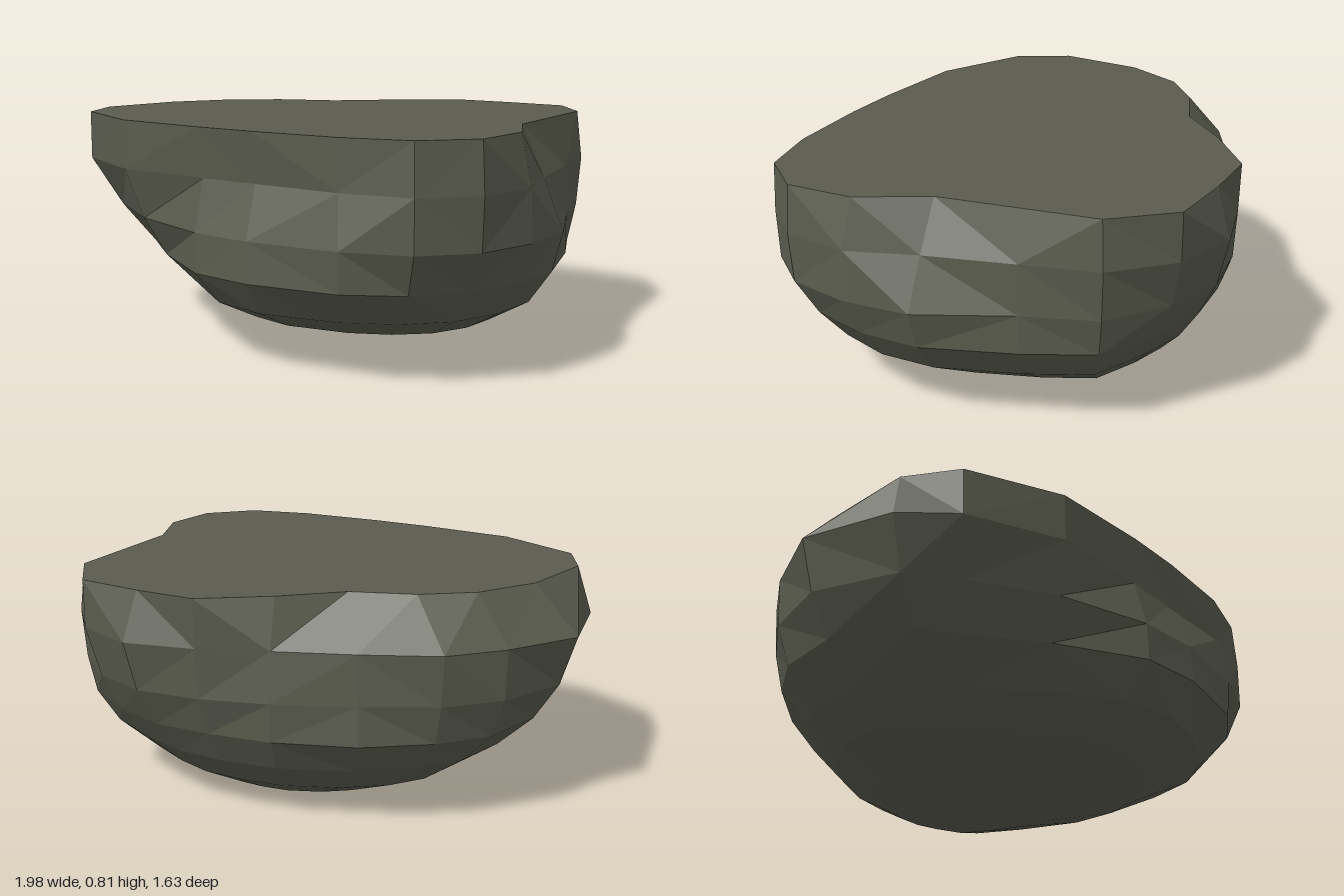
import * as THREE from 'three';

// Directions of the boulder's corners in degrees, from +x turning towards +z
const ANGLES = [0, 14, 27, 39, 52, 73, 90, 117, 140, 153, 173, 190, 205, 225, 250, 270, 287, 303, 320, 338];
const SIDES = ANGLES.length;

// Horizontal sections from the flat top down: height and radius at each angle
const SECTIONS = [
  { y: 0.815, r: [0.78, 0.95, 1.055, 1.04, 0.925, 0.80, 0.775, 0.86, 0.965, 0.955, 0.845, 0.75, 0.645, 0.525, 0.60, 0.745, 0.795, 0.90, 0.875, 0.78] },
  { y: 0.64, r: [0.87, 1.00, 1.07, 1.05, 0.92, 0.775, 0.755, 0.855, 0.965, 1.01, 1.007, 0.885, 0.81, 0.69, 0.66, 0.74, 0.857, 0.90, 0.895, 0.83] },
  { y: 0.46, r: [0.95, 1.01, 1.06, 1.045, 0.955, 0.845, 0.80, 0.79, 0.85, 0.93, 0.95, 0.88, 0.80, 0.70, 0.68, 0.73, 0.81, 0.85, 0.88, 0.84] },
  { y: 0.32, r: [0.91, 0.95, 0.98, 0.98, 0.94, 0.85, 0.80, 0.71, 0.73, 0.80, 0.86, 0.83, 0.77, 0.71, 0.67, 0.68, 0.735, 0.78, 0.85, 0.84] },
  { y: 0.2, r: [0.82, 0.86, 0.88, 0.86, 0.82, 0.755, 0.69, 0.58, 0.57, 0.63, 0.73, 0.71, 0.67, 0.62, 0.60, 0.61, 0.65, 0.69, 0.77, 0.76] },
];

const rings = SECTIONS.map((s) => s.r.map((r, i) => {
  const a = THREE.MathUtils.degToRad(ANGLES[i]);
  return [r * Math.cos(a), s.y, r * Math.sin(a)];
}));

// The belly shrinks the lowest section towards the foot and rises to the front
const FOOT = [-0.03, 0, -0.2];
const lowest = rings[rings.length - 1];
for (const [y, scale, rise] of [[0.1, 0.78, 0.02], [0.03, 0.47, 0.18], [0, 0.17, 0]]) {
  rings.push(lowest.map(([x, , z]) => {
    const pz = FOOT[2] + (z - FOOT[2]) * scale;
    return [FOOT[0] + (x - FOOT[0]) * scale, y + rise * Math.max(0, pz), pz];
  }));
}

const distance = (p, q) => Math.hypot(p[0] - q[0], p[1] - q[1], p[2] - q[2]);

function facetMesh(name, triangles, material) {
  const geometry = new THREE.BufferGeometry();
  geometry.setAttribute('position', new THREE.Float32BufferAttribute(triangles.flat(2), 3));
  geometry.computeVertexNormals();
  const mesh = new THREE.Mesh(geometry, material);
  mesh.name = name;
  return mesh;
}

// Fan that closes one ring, facing up or down
function cap(ring, centre, up) {
  return ring.map((p, i) => {
    const q = ring[(i + 1) % SIDES];
    return up ? [centre, q, p] : [centre, p, q];
  });
}

export function createModel() {
  const stone = new THREE.MeshStandardMaterial({ color: 0x5a5c4e, flatShading: true });
  stone.name = 'dark olive stone';

  // Faceted flanks, each patch split along its shorter diagonal
  const flanks = [];
  for (let k = 0; k < rings.length - 1; k++) {
    for (let i = 0; i < SIDES; i++) {
      const j = (i + 1) % SIDES;
      const a = rings[k][i], b = rings[k][j], c = rings[k + 1][i], d = rings[k + 1][j];
      if (distance(b, c) < distance(a, d)) flanks.push([a, b, c], [b, d, c]);
      else flanks.push([a, b, d], [a, d, c]);
    }
  }

  const boulder = new THREE.Group();
  boulder.name = 'boulder';
  boulder.add(
    facetMesh('flatTop', cap(rings[0], [0, SECTIONS[0].y, 0], true), stone),
    facetMesh('rockFlanks', flanks, stone),
    facetMesh('underside', cap(rings[rings.length - 1], FOOT, false), stone),
  );
  return boulder;
}
